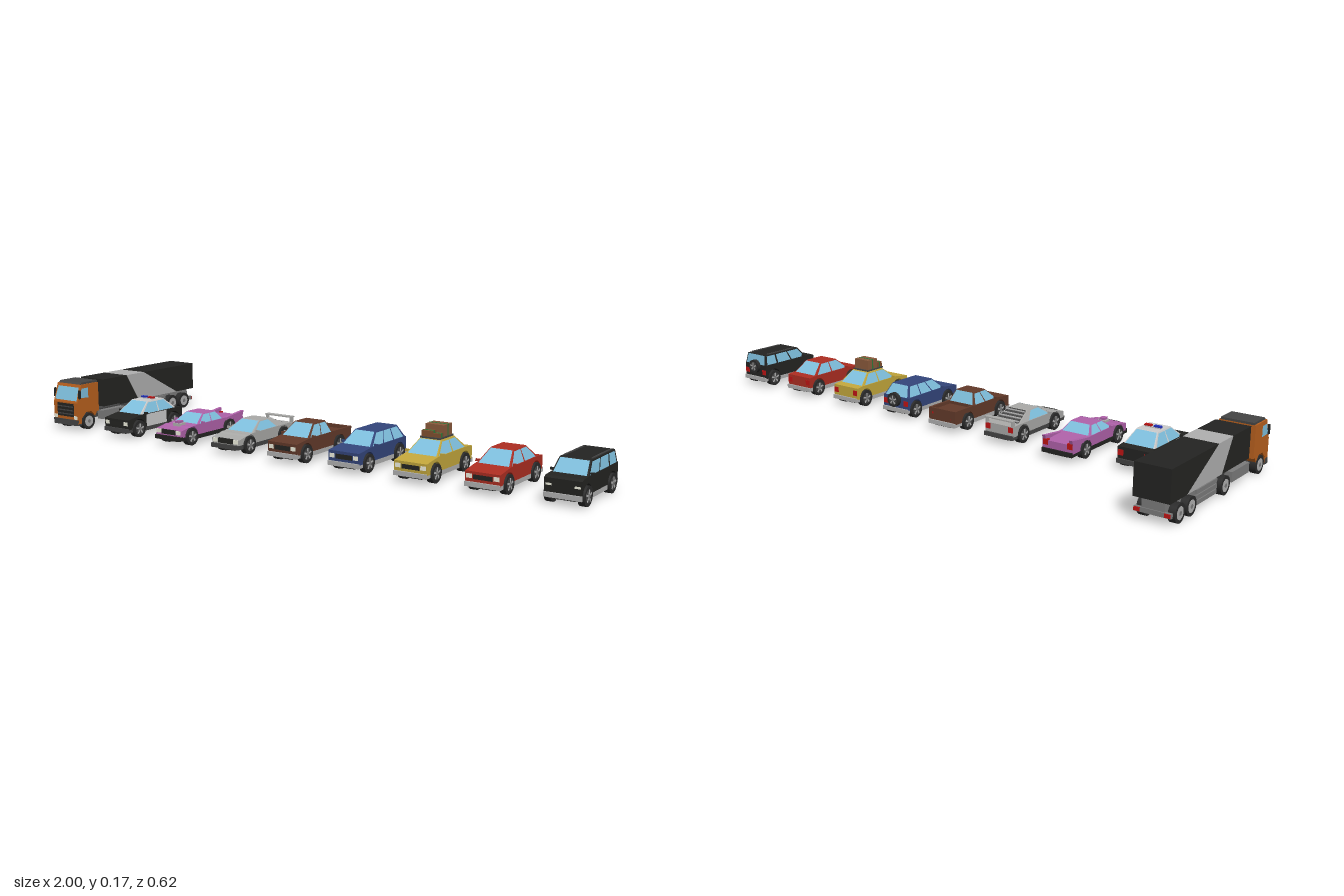
import * as THREE from 'three';

const C = { black: 0x242422, tyre: 0x2b2b2b, grey: 0xb0b0b0, mid: 0x7c7c7c, dark: 0x454545, glass: 0x7fc0de,
  red: 0xc01414, lamp: 0xeeeedd, white: 0xdddddd, orange: 0xb8601e };
const mats = {};
const mat = c => mats[c] ??= new THREE.MeshStandardMaterial({ color: c, side: THREE.DoubleSide });
const lerp = THREE.MathUtils.lerp;

function add(g, name, geo, c) {
  const m = new THREE.Mesh(geo, mat(c));
  m.name = name;
  g.add(m);
  return m;
}

// box given by its extents in x (centre, width), y and z (from, to)
function box(g, name, c, x, w, y0, y1, z0, z1) {
  const m = add(g, name, new THREE.BoxGeometry(w, y1 - y0, z1 - z0), c);
  m.position.set(x, (y0 + y1) / 2, (z0 + z1) / 2);
  return m;
}

// side profile in (z, y) extruded across the width
function across(g, name, c, shape, w, x = 0) {
  const geo = new THREE.ExtrudeGeometry(shape, { depth: w, bevelEnabled: false, curveSegments: 16 });
  geo.translate(0, 0, -w / 2).rotateY(-Math.PI / 2);
  const m = add(g, name, geo, c);
  m.position.x = x;
  return m;
}
const poly = pts => new THREE.Shape(pts.map(p => new THREE.Vector2(...p)));

function quad(g, name, c, pts) {
  const geo = new THREE.BufferGeometry();
  geo.setAttribute('position', new THREE.Float32BufferAttribute(pts.flat(), 3));
  geo.setIndex([0, 1, 2, 0, 2, 3]);
  geo.computeVertexNormals();
  return add(g, name, geo, c);
}

function wheel(g, s, x, y, z, r, w, spoked) {
  const wg = new THREE.Group();
  wg.name = 'wheel';
  const disc = (name, c, rad, from, to) => {
    const m = add(wg, name, new THREE.CylinderGeometry(rad, rad, to - from, 24), c);
    m.rotation.z = Math.PI / 2;
    m.position.x = s * (from + to) / 2;
  };
  disc('tyre', C.tyre, r, -w / 2, w / 2);
  disc('rim', spoked ? C.dark : C.grey, r * 0.66, w / 2, w / 2 + 0.0006);
  disc('hub', C.mid, r * 0.22, w / 2, w / 2 + 0.0018);
  if (spoked) for (let i = 0; i < 5; i++) {
    const a = i * Math.PI * 2 / 5;
    const m = add(wg, 'spoke', new THREE.BoxGeometry(0.001, r * 0.62, r * 0.2), C.grey);
    m.position.set(s * (w / 2 + 0.0008), Math.cos(a) * r * 0.33, Math.sin(a) * r * 0.33);
    m.rotation.x = a;
  }
  wg.position.set(s * x, y, z);
  g.add(wg);
}

// tapered cabin with inset glass on all four sides
function cabin(g, o) {
  const [zb0, zb1, zt0, zt1] = o.cab, { y0, y1, wb, wt } = o;
  const geo = new THREE.BoxGeometry(1, 1, 1), p = geo.attributes.position;
  for (let i = 0; i < p.count; i++) {
    const top = p.getY(i) > 0, front = p.getZ(i) > 0;
    p.setXYZ(i, p.getX(i) * (top ? wt : wb), top ? y1 : y0, front ? (top ? zt1 : zb1) : (top ? zt0 : zb0));
  }
  geo.computeVertexNormals();
  add(g, 'cabin', geo, o.roof ?? o.color);
  const vs = [0.06, 0.9];
  for (const s of [-1, 1]) {
    const at = (u, v) => [s * (lerp(wb, wt, v) / 2 + 0.0007), lerp(y0, y1, v),
      lerp(lerp(zb0, zb1, u), lerp(zt0, zt1, u), v)];
    for (const [u0, u1] of o.windows ?? [[0.06, 0.47], [0.51, 0.95]])
      quad(g, 'sideWindow', C.glass, [at(u0, vs[0]), at(u1, vs[0]), at(u1, vs[1]), at(u0, vs[1])]);
    const end = (u, v) => [(u - 0.5) * lerp(wb, wt, v), lerp(y0, y1, v) + 0.0006,
      lerp(s > 0 ? zb1 : zb0, s > 0 ? zt1 : zt0, v) + s * 0.0008];
    quad(g, s > 0 ? 'windscreen' : 'rearWindow', o.louvred && s < 0 ? C.dark : C.glass,
      [end(0.04, 0.04), end(0.96, 0.04), end(0.96, 0.95), end(0.04, 0.95)]);
    box(g, 'mirror', o.color, s * (wb / 2 + 0.006), 0.012, y0 + 0.002, y0 + 0.009, zb1 - 0.022, zb1 - 0.016);
  }
}

function car(o) {
  const g = new THREE.Group();
  g.name = o.name;
  g.position.x = o.x;
  const W = 0.11, [zr, zf] = o.wheels ?? [0.075, 0.252], r = 0.029, b = 0.032, arch = r + 0.003;
  const { rear, front } = o;
  // lower body with wheel arches
  const s = poly([[front, b], ...o.top, [rear, b]]);
  for (const z of [zr, zf]) {
    s.lineTo(z - arch, b);
    s.absarc(z, b, arch, Math.PI, 0, true);
  }
  s.closePath();
  across(g, 'body', o.color, s, W);
  // underside, sills and bumpers
  box(g, 'underside', C.black, 0, 0.07, 0.017, 0.05, rear + 0.005, front - 0.005);
  box(g, 'sill', o.trim ?? C.grey, 0, W, 0.018, b, zr + arch, zf - arch);
  box(g, 'frontBumper', o.trim ?? C.grey, 0, W, 0.022, 0.036, zf + arch, front + 0.006);
  box(g, 'rearBumper', o.trim ?? C.grey, 0, W, 0.022, 0.036, rear - 0.006, Math.max(zr - arch, rear + 0.003));
  // grille, lamps, wheels
  const ly = o.lampY ?? 0.051;
  box(g, 'grille', C.black, 0, 0.06, ly - 0.007, ly + 0.009, front - 0.01, front + 0.0015);
  for (const k of [-1, 1]) {
    box(g, 'headlamp', C.lamp, k * 0.042, 0.018, ly - 0.005, ly + 0.008, front - 0.01, front + 0.002);
    box(g, 'tailLamp', C.red, k * 0.044, 0.018, 0.046, 0.064, rear - 0.002, rear + 0.01);
    for (const z of [zr, zf]) wheel(g, k, 0.049, b - 0.002, z, r, 0.02, true);
  }
  cabin(g, { wb: 0.106, wt: 0.072, y0: 0.074, y1: 0.114, ...o });
  return g;
}

function spareWheel(g, z, y) {
  const w = new THREE.Group();
  w.name = 'spareWheel';
  wheel(w, 1, 0, 0, 0, 0.025, 0.014, true);
  w.rotation.y = Math.PI / 2;
  w.position.set(0, y, z);
  g.add(w);
}

function truck() {
  const g = new THREE.Group();
  g.name = 'truck';
  g.position.x = -0.938;
  const W = 0.112;
  // trailer in three slanted sections
  const cuts = [[0.172, 0.172], [0.053, -0.006], [-0.038, -0.217], [-0.313, -0.313]];
  [C.black, C.grey, C.black].forEach((c, i) => across(g, 'trailerSection', c, poly([
    [cuts[i][0], 0.168], [cuts[i + 1][0], 0.168], [cuts[i + 1][1], 0.07], [cuts[i][1], 0.07]]), W));
  across(g, 'trailerChassis', C.mid, poly([[0, 0.07], [-0.3, 0.07], [-0.3, 0.034], [-0.04, 0.034]]), 0.07);
  box(g, 'tractorChassis', C.dark, 0, 0.06, 0.032, 0.06, -0.02, 0.25);
  box(g, 'couplingPlate', C.black, 0, 0.06, 0.06, 0.07, -0.005, 0.06);
  box(g, 'rearBumper', C.mid, 0, W, 0.026, 0.04, -0.304, -0.294);
  // cab
  const cab = [[0.2, 0.026], [0.303, 0.026], [0.303, 0.1], [0.281, 0.163], [0.2, 0.163]];
  across(g, 'cab', C.orange, poly([[0.2, 0.06], [0.21, 0.06], [0.219, 0.045], [0.238, 0.064], [0.262, 0.064],
    [0.283, 0.045], [0.285, 0.026], ...cab.slice(1)]), 0.116);
  across(g, 'roofFairing', C.dark, poly([[0.2, 0.163], [0.281, 0.163], [0.274, 0.17], [0.2, 0.17]]), 0.106);
  const front = y => 0.303 - (y - 0.1) * 0.022 / 0.063 + 0.001;
  quad(g, 'windscreen', C.glass, [[-0.053, 0.107, front(0.107)], [0.053, 0.107, front(0.107)],
    [0.05, 0.153, front(0.153)], [-0.05, 0.153, front(0.153)]]);
  box(g, 'grille', C.black, 0, 0.08, 0.05, 0.096, 0.295, 0.3045);
  for (let i = 0; i < 3; i++) box(g, 'grilleBar', C.dark, 0, 0.076, 0.057 + i * 0.013, 0.061 + i * 0.013, 0.3, 0.3055);
  box(g, 'frontBumper', C.dark, 0, 0.116, 0.02, 0.04, 0.285, 0.306);
  for (const s of [-1, 1]) {
    const x = s * 0.0588;
    quad(g, 'sideWindow', C.glass, [[x, 0.115, 0.25], [x, 0.117, 0.292], [x, 0.15, 0.281], [x, 0.15, 0.25]]);
    box(g, 'mirror', C.black, s * 0.06, 0.006, 0.115, 0.145, 0.289, 0.297);
    box(g, 'headlamp', C.lamp, s * 0.048, 0.014, 0.042, 0.054, 0.295, 0.3055);
    box(g, 'tailLamp', C.red, s * 0.046, 0.018, 0.028, 0.039, -0.307, -0.3);
    box(g, 'fuelTank', C.mid, s * 0.043, 0.024, 0.025, 0.056, 0.065, 0.18);
    for (let i = 0; i < 3; i++)
      box(g, 'sideGuard', C.mid, s * 0.051, 0.006, 0.02 + i * 0.016, 0.033 + i * 0.016, -0.155, -0.03);
    for (const z of [0.25, 0.018, -0.19, -0.256]) wheel(g, s, 0.047, 0.03, z, 0.029, 0.022, false);
  }
  return g;
}

export function createModel() {
  const root = new THREE.Group();
  root.name = 'vehicleLineup';
  root.add(truck());

  const sedan = { rear: 0.03, front: 0.302, cab: [0.06, 0.24, 0.108, 0.186],
    top: [[0.304, 0.066], [0.24, 0.076], [0.062, 0.076], [0.03, 0.073]] };

  // patrol car with light bar and white doors
  const patrol = car({ ...sedan, name: 'patrolCar', x: -0.693, color: C.black, roof: C.white, trim: C.dark });
  box(patrol, 'doors', C.white, 0, 0.112, 0.032, 0.0745, 0.113, 0.214);
  box(patrol, 'lightBarBase', C.white, 0, 0.056, 0.114, 0.117, 0.138, 0.152);
  for (const s of [-1, 1]) box(patrol, 'beacon', s < 0 ? 0x2030c0 : C.red, s * 0.016, 0.024, 0.116, 0.122, 0.139, 0.151);

  // low cruiser with hood engine and tail fins
  const pink = car({ name: 'finnedCruiser', x: -0.457, color: 0xb062aa, rear: -0.02, front: 0.304, trim: C.black,
    wheels: [0.055, 0.252], lampY: 0.047, y0: 0.064, y1: 0.094, cab: [0.08, 0.218, 0.11, 0.17],
    top: [[0.302, 0.056], [0.22, 0.066], [0.08, 0.066], [-0.02, 0.06]] });
  for (const s of [-1, 1]) across(pink, 'tailFin', 0xb062aa,
    poly([[0.08, 0.064], [-0.025, 0.076], [-0.018, 0.055], [0.08, 0.055]]), 0.012, s * 0.049);
  box(pink, 'engine', C.grey, 0, 0.03, 0.058, 0.071, 0.235, 0.265);
  box(pink, 'scoop', 0xb062aa, 0, 0.018, 0.07, 0.078, 0.24, 0.262);

  // wedge sports car with louvred back
  const sport = car({ name: 'sportsCar', x: -0.217, color: 0xaaaaa8, rear: 0.008, front: 0.302, trim: C.dark,
    wheels: [0.065, 0.248], lampY: 0.045, louvred: true, y0: 0.064, y1: 0.096, cab: [0.04, 0.23, 0.115, 0.17],
    windows: [[0.3, 0.93]], top: [[0.302, 0.053], [0.23, 0.066], [0.04, 0.068], [0.008, 0.066]] });
  for (let i = 0; i < 4; i++) {
    const z = 0.055 + i * 0.016, y = 0.07 + i * 0.0066;
    box(sport, 'louvre', C.grey, 0, 0.086 - i * 0.005, y, y + 0.003, z - 0.004, z + 0.005);
  }
  box(sport, 'spoiler', 0xaaaaa8, 0, 0.11, 0.082, 0.086, 0.002, 0.022);
  for (const s of [-1, 1]) box(sport, 'spoilerPost', 0xaaaaa8, s * 0.05, 0.006, 0.062, 0.084, 0.006, 0.02);

  // pickup with open bed
  const brown = 0x633a2a;
  const pickup = car({ name: 'pickup', x: 0.01, color: brown, rear: 0.002, front: 0.303, wheels: [0.07, 0.252],
    cab: [0.105, 0.238, 0.125, 0.186], top: [[0.305, 0.068], [0.238, 0.076], [0.104, 0.076], [0.104, 0.066], [0.002, 0.066]] });
  for (const s of [-1, 1]) box(pickup, 'bedSide', brown, s * 0.051, 0.008, 0.06, 0.077, 0.002, 0.105);
  box(pickup, 'tailgate', brown, 0, 0.11, 0.04, 0.077, 0, 0.008);

  // off-road wagon with spare wheel
  const wagon = car({ name: 'wagon', x: 0.238, color: 0x34467c, rear: 0.034, front: 0.303, cab: [0.036, 0.236, 0.06, 0.184],
    windows: [[0.05, 0.33], [0.36, 0.64], [0.67, 0.96]],
    top: [[0.305, 0.068], [0.236, 0.076], [0.034, 0.076]] });
  spareWheel(wagon, 0.024, 0.066);

  // yellow sedan with luggage on a roof rack
  const yellow = car({ ...sedan, name: 'touringSedan', x: 0.468, color: 0xc4a83c });
  box(yellow, 'roofRack', C.dark, 0, 0.068, 0.115, 0.12, 0.11, 0.192);
  const bags = [[0, 0.062, 0.154, 0.115, 0.164], [-0.012, 0.036, 0.138, 0.165, 0.191], [0.02, 0.022, 0.132, 0.167, 0.188]];
  bags.forEach(([x, w, y, z0, z1], i) => {
    const zc = (z0 + z1) / 2;
    box(yellow, 'suitcase', i ? 0x805030 : 0x8a5a3c, x, w, 0.12, y, z0, z1);
    box(yellow, 'strap', 0x2f7a3a, x, w + 0.0015, 0.12, y + 0.0008, zc - 0.003, zc + 0.003);
  });

  root.add(patrol, pink, sport, pickup, wagon, yellow,
    car({ ...sedan, name: 'redSedan', x: 0.7, color: 0xae2e22 }));

  // tall utility car with roof rails
  const suv = car({ name: 'utilityCar', x: 0.932, color: C.black, rear: 0.034, front: 0.286, wheels: [0.075, 0.252],
    lampY: 0.06, y0: 0.081, y1: 0.12, wt: 0.092, cab: [0.034, 0.246, 0.04, 0.211],
    windows: [[0.04, 0.27], [0.31, 0.62], [0.65, 0.96]],
    top: [[0.289, 0.076], [0.28, 0.081], [0.246, 0.083], [0.034, 0.083]] });
  spareWheel(suv, 0.028, 0.075);
  for (const s of [-1, 1]) box(suv, 'roofRail', C.dark, s * 0.04, 0.004, 0.119, 0.123, 0.055, 0.19);
  root.add(suv);
  return root;
}
